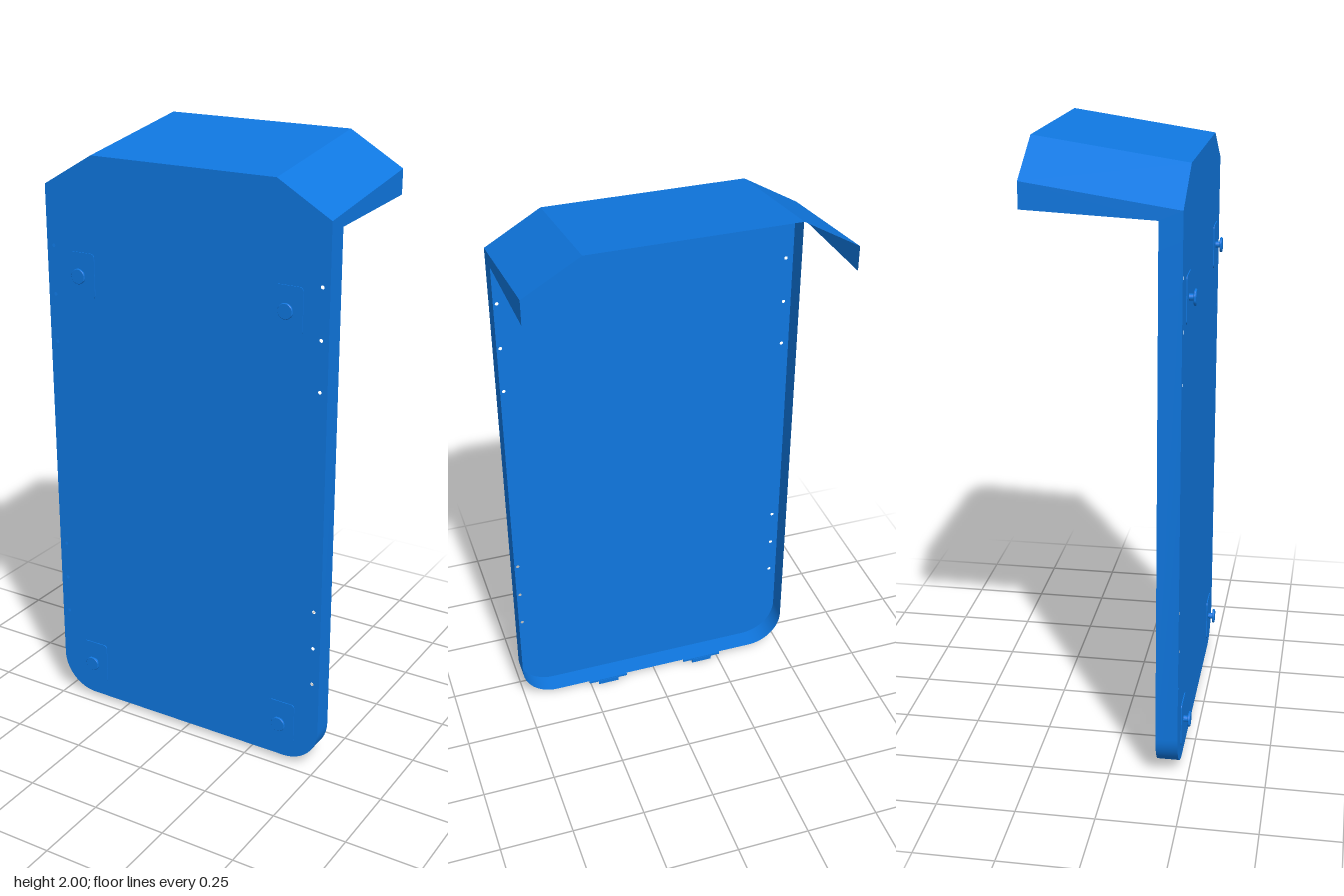
import * as THREE from 'three';
import { toCreasedNormals } from 'three/addons/utils/BufferGeometryUtils.js';

const W = 0.505, BASE = 0.02, R = 0.125;      // half width, lower edge, corner radius
const FRONT = 0.22, RIM = 0.15, BACK = -0.25; // depths of face, rim and hood end
const SHOULDER = 1.825, TOP = 1.93, FLAT = 0.325, RISE = 0.07;

export function createModel() {
  const model = new THREE.Group();
  const paint = new THREE.MeshStandardMaterial({ color: 0x0f77e0 });
  const sheetPaint = paint.clone();
  sheetPaint.side = THREE.DoubleSide;

  const add = (name, geometry, x = 0, y = 0, z = 0, material = paint, parent = model) => {
    const mesh = new THREE.Mesh(geometry, material);
    mesh.name = name;
    mesh.position.set(x, y, z);
    parent.add(mesh);
    return mesh;
  };

  // Sheet between two rows of points
  const sheet = (a, b) => {
    const index = [];
    const n = a.length;
    for (let i = 0; i < n - 1; i++) index.push(i, n + i, i + 1, i + 1, n + i, n + i + 1);
    const g = new THREE.BufferGeometry();
    g.setAttribute('position', new THREE.Float32BufferAttribute([...a, ...b].flat(), 3));
    g.setIndex(index);
    return toCreasedNormals(g, 0.4);
  };

  // U-shaped lower outline, from the left shoulder round to the right one
  const lower = [[W, SHOULDER]];
  for (const [cx, start] of [[W - R, 0], [R - W, -Math.PI / 2]]) {
    for (let i = 0; i <= 12; i++) {
      const a = start - (i / 12) * Math.PI / 2;
      lower.push([cx + R * Math.cos(a), BASE + R + R * Math.sin(a)]);
    }
  }
  lower.push([-W, SHOULDER]);
  const upper = [[-W, SHOULDER], [-FLAT, TOP], [FLAT, TOP], [W, SHOULDER]];

  // Front panel with rows of screw holes near both edges
  const face = new THREE.Shape([...lower, ...upper.slice(1, 3)].map(p => new THREE.Vector2(...p)));
  for (const x of [-0.48, 0.48]) {
    for (const y of [0.32, 0.45, 0.58, 1.31, 1.47, 1.63]) {
      face.holes.push(new THREE.Path().absarc(x, y, 0.006, 0, Math.PI * 2, true));
    }
  }
  add('frontPanel', new THREE.ShapeGeometry(face, 6), 0, 0, FRONT, sheetPaint);

  // Shallow wall round the sides and bottom
  add('rimWall', sheet(
    lower.map(([x, y]) => [x, y, FRONT]),
    lower.map(([x, y]) => [x, y === SHOULDER ? 1.795 : y, RIM])
  ), 0, 0, 0, sheetPaint);

  // Hood rising towards the back, with its side cheeks
  add('hoodRoof', sheet(
    upper.map(([x, y]) => [x, y, FRONT]),
    upper.map(([x, y]) => [x, y + RISE, BACK])
  ), 0, 0, 0, sheetPaint);
  for (const s of [1, -1]) {
    add(s > 0 ? 'hoodCheekLeft' : 'hoodCheekRight', sheet(
      [[s * W, SHOULDER, FRONT], [s * W, SHOULDER + RISE, BACK]],
      [[s * W, 1.795, RIM], [s * W, 1.815, BACK]]
    ), 0, 0, 0, sheetPaint);
  }

  // Four mounting studs, each on a thin rounded plate
  const pw = 0.048, ph = 0.073, pr = 0.012;
  const outline = new THREE.Shape();
  outline.absarc(pw - pr, ph - pr, pr, 0, Math.PI / 2);
  outline.absarc(pr - pw, ph - pr, pr, Math.PI / 2, Math.PI);
  outline.absarc(pr - pw, pr - ph, pr, Math.PI, Math.PI * 1.5);
  outline.absarc(pw - pr, pr - ph, pr, Math.PI * 1.5, Math.PI * 2);
  const plate = new THREE.ExtrudeGeometry(outline, { depth: 0.003, bevelEnabled: false, curveSegments: 5 });
  const studProfile = [[0.01, 0], [0.01, 0.018], [0.023, 0.018], [0.025, 0.02], [0.025, 0.024], [0.023, 0.026], [0, 0.026]];
  const stud = toCreasedNormals(
    new THREE.LatheGeometry(studProfile.map(p => new THREE.Vector2(...p)), 28).rotateX(Math.PI / 2), 0.5);
  for (const x of [-0.371, 0.371]) {
    for (const y of [0.148, 1.548]) {
      const mount = new THREE.Group();
      mount.name = 'mount';
      mount.position.set(x, y, FRONT);
      model.add(mount);
      add('mountPlate', plate, 0, 0, 0, paint, mount);
      add('mountStud', stud, 0, 0, 0, paint, mount);
    }
  }

  // Two small clips under the bottom rim
  for (const x of [-0.186, 0.184]) {
    const clip = new THREE.Group();
    clip.name = 'bottomClip';
    clip.position.set(x, 0, RIM);
    model.add(clip);
    add('clipStrip', new THREE.BoxGeometry(0.145, 0.008, 0.006), 0, 0.016, -0.002, paint, clip);
    add('clipTongue', new THREE.BoxGeometry(0.075, 0.016, 0.006), 0, 0.008, -0.004, paint, clip);
  }

  return model;
}
